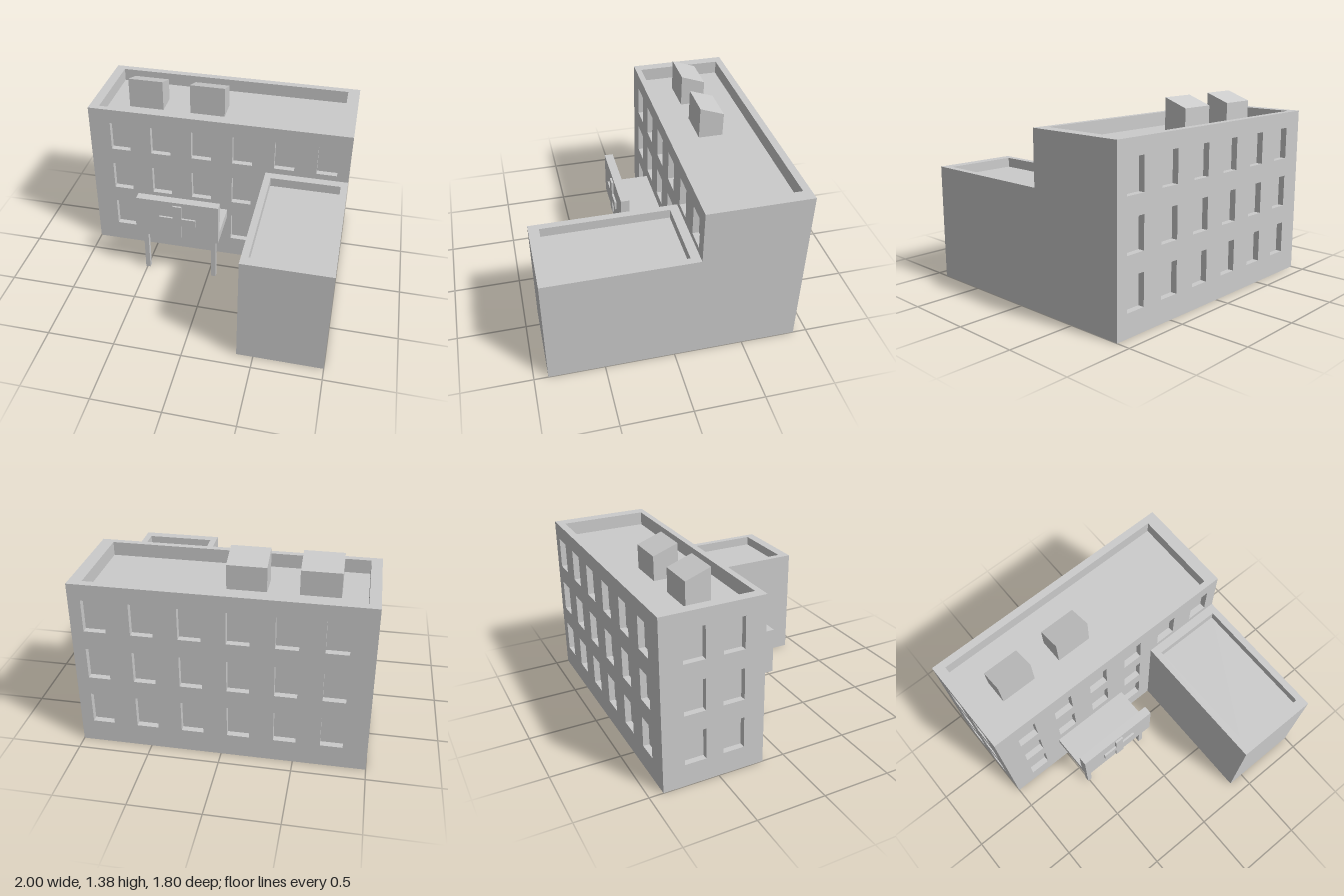
import * as THREE from 'three';

const material = new THREE.MeshStandardMaterial({ color: 0xcccccc, flatShading: true });

function rectPoints(x0, y0, x1, y1) {
  return [[x0, y0], [x1, y0], [x1, y1], [x0, y1]].map(([x, y]) => new THREE.Vector2(x, y));
}

function extrude(points, depth, holes = []) {
  const shape = new THREE.Shape(points);
  for (const hole of holes) shape.holes.push(new THREE.Path(hole));
  return new THREE.ExtrudeGeometry(shape, { depth, bevelEnabled: false });
}

function add(parent, name, geometry) {
  const mesh = new THREE.Mesh(geometry, material);
  mesh.name = name;
  parent.add(mesh);
  return mesh;
}

// Box given by its two extreme corners
function block(parent, name, [x0, y0, z0], [x1, y1, z1]) {
  const geometry = new THREE.BoxGeometry(x1 - x0, y1 - y0, z1 - z0);
  geometry.translate((x0 + x1) / 2, (y0 + y1) / 2, (z0 + z1) / 2);
  return add(parent, name, geometry);
}

// Raised rim around a flat roof; outer and inner are [x0, z0, x1, z1]
function parapet(parent, name, outer, inner, y0, y1) {
  const plan = ([x0, z0, x1, z1]) => rectPoints(x0, -z1, x1, -z0);
  const geometry = extrude(plan(outer), y1 - y0, [plan(inner)]);
  geometry.rotateX(-Math.PI / 2).translate(0, y0, 0);
  return add(parent, name, geometry);
}

const ROOF = 1.14, TOP = 1.24, BACK = -0.9, FRONT = -0.165, REVEAL = 0.045;
const WINDOW_W = 0.153, WINDOW_H = 0.23;
const ROWS = [0.28, 0.645, 1.01];
const COLUMNS = Array.from({ length: 6 }, (_, i) => -0.758 + 0.319 * i);

// Wall with window openings cut through it
function windowWall(u0, u1, centers) {
  const holes = centers.map(([u, v]) =>
    rectPoints(u - WINDOW_W / 2, v - WINDOW_H / 2, u + WINDOW_W / 2, v + WINDOW_H / 2));
  return extrude(rectPoints(u0, 0, u1, ROOF), REVEAL, holes);
}

const grid = (columns) => ROWS.flatMap((v) => columns.map((u) => [u, v]));

function mainBuilding() {
  const group = new THREE.Group();
  group.name = 'mainBuilding';
  block(group, 'core', [-1 + REVEAL, 0, BACK + REVEAL], [1, ROOF, FRONT - REVEAL]);

  // The wing covers the lower right-hand columns of the front wall
  const frontWindows = grid(COLUMNS).filter(([u, v]) => u < 0.35 || v > 0.9);
  add(group, 'frontWall', windowWall(-1, 1, frontWindows)).position.z = FRONT - REVEAL;
  add(group, 'backWall', windowWall(-1, 1, grid(COLUMNS))).position.z = BACK;
  const side = windowWall(BACK + REVEAL, FRONT - REVEAL, grid([-0.667, -0.39]));
  side.rotateY(-Math.PI / 2);
  add(group, 'sideWall', side).position.x = -1 + REVEAL;

  parapet(group, 'mainParapet', [-1, BACK, 1, FRONT], [-0.925, -0.845, 0.91, -0.21], ROOF, TOP);

  // Rooftop units with sloping tops
  for (const x of [-0.48, 0.008]) {
    const profile = [[-0.605, ROOF], [-0.425, ROOF], [-0.425, 1.38], [-0.605, 1.315]]
      .map(([z, y]) => new THREE.Vector2(z, y));
    const geometry = extrude(profile, 0.272);
    geometry.rotateY(-Math.PI / 2);
    add(group, 'roofUnit', geometry).position.x = x;
  }

  // Landing circle painted on the roof
  const circle = new THREE.RingGeometry(0.19, 0.22, 40);
  circle.rotateX(-Math.PI / 2);
  add(group, 'landingCircle', circle).position.set(0.45, ROOF + 0.001, -0.56);
  return group;
}

function wing() {
  const group = new THREE.Group();
  group.name = 'wing';
  block(group, 'wingBody', [0.38, 0, FRONT], [1, 0.78, 0.9]);
  parapet(group, 'wingParapet', [0.38, FRONT, 1, 0.9], [0.43, -0.1, 0.95, 0.825], 0.78, 0.85);
  return group;
}

function entrance() {
  const group = new THREE.Group();
  group.name = 'entranceCanopy';
  block(group, 'canopyRoof', [-0.54, 0.38, FRONT], [0.09, 0.45, 0.12]);
  block(group, 'signPanel', [-0.54, 0.38, 0.12], [0.09, 0.715, 0.185]);
  for (const x of [-0.495, 0.045]) {
    block(group, 'post', [x - 0.018, 0, 0.1], [x + 0.018, 0.38, 0.136]);
  }

  // Raised cross on the sign: one arm turned four times
  const a = 0.033, b = 0.142;
  const points = [];
  for (let i = 0; i < 4; i++) {
    for (const [x, y] of [[b, -a], [b, a], [a, a]]) {
      points.push(new THREE.Vector2(x, y).rotateAround(new THREE.Vector2(), (i * Math.PI) / 2));
    }
  }
  add(group, 'cross', extrude(points, 0.015)).position.set(-0.223, 0.546, 0.185);
  return group;
}

export function createModel() {
  const model = new THREE.Group();
  model.name = 'hospital';
  model.add(mainBuilding(), wing(), entrance());
  return model;
}
